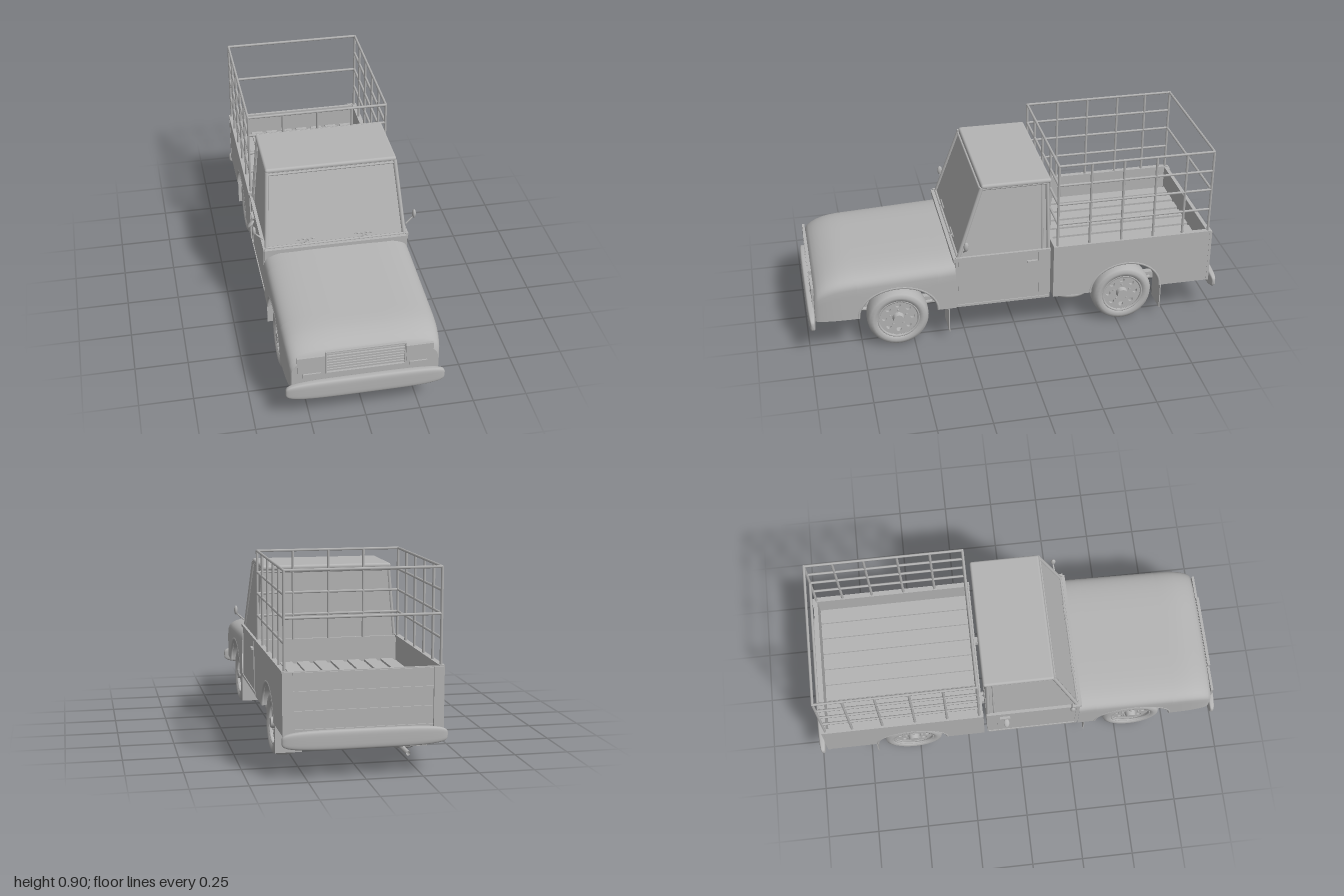
import * as THREE from 'three';
import { RoundedBoxGeometry } from 'three/addons/geometries/RoundedBoxGeometry.js';

const V = (x, y, z) => new THREE.Vector3(x, y, z);

// Smooth surface through rows of points
function loft(rows) {
  const n = rows[0].length, index = [];
  for (let i = 0; i < rows.length - 1; i++) {
    for (let j = 0; j < n - 1; j++) {
      const a = i * n + j, b = a + n;
      index.push(a, a + 1, b, b, a + 1, b + 1);
    }
  }
  const g = new THREE.BufferGeometry().setFromPoints(rows.flat());
  g.setIndex(index);
  g.computeVertexNormals();
  return g;
}

export function createModel() {
  const truck = new THREE.Group();
  truck.name = 'pickupTruck';
  const grey = new THREE.MeshStandardMaterial({ color: 0xb4b4b4, side: THREE.DoubleSide });
  grey.name = 'grey';

  const add = (name, geo, x = 0, y = 0, z = 0, parent = truck) => {
    const m = new THREE.Mesh(geo, grey);
    m.name = name;
    m.position.set(x, y, z);
    parent.add(m);
    return m;
  };
  const box = (name, w, h, d, x, y, z) => add(name, new THREE.BoxGeometry(w, h, d), x, y, z);
  const bar = (name, a, b, r, sides = 8) => {
    const m = add(name, new THREE.CylinderGeometry(r, r, a.distanceTo(b), sides));
    m.position.copy(a).lerp(b, 0.5);
    m.quaternion.setFromUnitVectors(V(0, 1, 0), b.clone().sub(a).normalize());
    return m;
  };
  const tube = (name, pts, r, seg = 32) =>
    add(name, new THREE.TubeGeometry(new THREE.CatmullRomCurve3(pts), seg, r, 8));
  const ball = (name, rx, ry, rz, x, y, z) => {
    const m = add(name, new THREE.SphereGeometry(1, 20, 14), x, y, z);
    m.scale.set(rx, ry, rz);
    return m;
  };

  // Bonnet and front wings: one shell whose lower edge follows the wheel arch
  const arch = { front: [0.575, 0.19, 0.145], rear: [-0.53, 0.175, 0.145] };
  const archPoints = ([c, half, rise], x) => Array.from({ length: 25 }, (_, i) => {
    const t = Math.PI * i / 24;
    return V(x, 0.19 + rise * Math.sin(t), c - half * Math.cos(t));
  });
  const section = (z) => {
    const s = Math.max(0, (z - 0.8) / 0.165);
    const round = 1 - Math.sqrt(Math.max(0, 1 - s * s));
    const top = 0.44 - 0.03 * (z - 0.3) / 0.66 - 0.07 * round;
    const w = 0.35 - 0.02 * round;
    const [c, half, rise] = arch.front;
    const u = (z - c) / half;
    const low = 0.19 + (Math.abs(u) < 1 ? rise * Math.sqrt(1 - u * u) : 0);
    const pts = [V(w, low, z)];
    for (let i = 0; i <= 32; i++) {
      const t = Math.PI * i / 32, cx = Math.cos(t), p = 2 / 4;
      const y = top - 0.1 + 0.1 * Math.pow(Math.sin(t), p);
      pts.push(V(Math.sign(cx) * w * Math.pow(Math.abs(cx), p), Math.max(low, y), z));
    }
    pts.push(V(-w, low, z));
    return pts;
  };
  const zs = [0.3, 0.34, ...archPoints(arch.front, 0).map(p => p.z),
    0.8, 0.84, 0.87, 0.9, 0.925, 0.945, 0.957, 0.965];
  add('bonnet', loft(zs.map(section)));
  add('frontPanel', new THREE.ShapeGeometry(
    new THREE.Shape(section(0.965).map(p => new THREE.Vector2(p.x, p.y)))), 0, 0, 0.965);

  // Grille with slats, headlamps and indicators
  for (const y of [0.257, 0.373]) box('grilleFrame', 0.36, 0.006, 0.014, 0, y, 0.969);
  for (const s of [-1, 1]) {
    box('grilleFrame', 0.006, 0.12, 0.014, s * 0.178, 0.315, 0.969);
    box('headlamp', 0.122, 0.085, 0.012, s * 0.244, 0.312, 0.968);
    box('indicator', 0.08, 0.023, 0.009, s * 0.24, 0.247, 0.967);
  }
  for (let i = 0; i < 7; i++) box('grilleSlat', 0.35, 0.007, 0.008, 0, 0.271 + i * 0.0147, 0.967);

  // Bumpers: superellipsoids
  for (const [name, y, z, h] of [['frontBumper', 0.178, 0.981, 0.048], ['rearBumper', 0.175, -0.981, 0.043]]) {
    const g = new THREE.SphereGeometry(1, 40, 32).rotateZ(Math.PI / 2);
    const p = g.attributes.position;
    const pw = (v) => Math.sign(v) * Math.pow(Math.abs(v), 0.5);
    for (let i = 0; i < p.count; i++) {
      p.setXYZ(i, 0.36 * pw(p.getX(i)), h * pw(p.getY(i)), 0.019 * pw(p.getZ(i)));
    }
    g.computeVertexNormals();
    add(name, g, 0, y, z);
  }

  // Cab: lower body, tapered glasshouse and roof
  box('cabBody', 0.69, 0.265, 0.455, 0, 0.3225, 0.0725);
  box('cowl', 0.69, 0.02, 0.02, 0, 0.447, 0.3);
  const house = new THREE.BoxGeometry(2, 1, 2).toNonIndexed();
  const hp = house.attributes.position;
  for (let i = 0; i < hp.count; i++) {
    const up = hp.getY(i) > 0;
    const z = hp.getZ(i) > 0 ? (up ? 0.165 : 0.285) : (up ? -0.148 : -0.152);
    hp.setXYZ(i, hp.getX(i) * (up ? 0.302 : 0.333), up ? 0.8 : 0.455, z);
  }
  house.computeVertexNormals();
  add('glasshouse', house);
  add('roof', new RoundedBoxGeometry(0.625, 0.024, 0.33, 4, 0.011), 0, 0.803, 0.003);
  bar('windscreenTopSeal', V(-0.3, 0.79, 0.172), V(0.3, 0.79, 0.172), 0.005);
  bar('windscreenBottomSeal', V(-0.33, 0.459, 0.288), V(0.33, 0.459, 0.288), 0.006);

  for (const s of [-1, 1]) {
    // Pillars, door seams, handle and mirror
    bar('frontPillar', V(s * 0.332, 0.455, 0.285), V(s * 0.304, 0.8, 0.166), 0.01);
    bar('rearPillar', V(s * 0.333, 0.455, -0.147), V(s * 0.303, 0.8, -0.143), 0.009);
    bar('windowPost', V(s * 0.335, 0.46, -0.118), V(s * 0.305, 0.795, -0.118), 0.004);
    bar('gutter', V(s * 0.306, 0.793, 0.165), V(s * 0.306, 0.793, -0.145), 0.006);
    box('waistRail', 0.012, 0.012, 0.455, s * 0.344, 0.457, 0.0725);
    box('doorSeam', 0.004, 0.25, 0.005, s * 0.346, 0.325, -0.1);
    box('doorSeam', 0.004, 0.25, 0.005, s * 0.346, 0.325, 0.285);
    box('doorSill', 0.006, 0.012, 0.44, s * 0.346, 0.198, 0.0725);
    box('doorHandle', 0.012, 0.01, 0.05, s * 0.351, 0.405, -0.066);
    bar('mirrorArm', V(s * 0.345, 0.493, 0.26), V(s * 0.376, 0.522, 0.255), 0.004);
    bar('mirrorStem', V(s * 0.376, 0.522, 0.255), V(s * 0.384, 0.542, 0.255), 0.003);
    ball('mirror', 0.009, 0.023, 0.012, s * 0.385, 0.543, 0.255);

    // Bed side with its wheel arch
    const [c, half, rise] = arch.rear;
    const side = new THREE.Shape();
    side.moveTo(-0.945, 0.465).lineTo(-0.945, 0.19).lineTo(c - half, 0.19);
    side.absellipse(c, 0.19, half, rise, Math.PI, 0, true);
    side.lineTo(-0.17, 0.19).lineTo(-0.17, 0.465).closePath();
    add('bedSide', new THREE.ExtrudeGeometry(side, { depth: 0.016, bevelEnabled: false, curveSegments: 24 })
      .rotateY(-Math.PI / 2), s > 0 ? 0.35 : -0.334);
    box('bedRail', 0.024, 0.012, 0.775, s * 0.342, 0.463, -0.5575);
    box('bedCornerPost', 0.045, 0.275, 0.012, s * 0.329, 0.3275, -0.947);

    // Wheel arch linings and lips
    for (const a of Object.values(arch)) {
      add('wheelHousing', loft([archPoints(a, s * 0.342), archPoints(a, s * 0.21)]));
      tube('archLip', archPoints(a, s * 0.345), 0.007, 40);
    }

    // Chassis rail and mud flaps
    box('chassisRail', 0.03, 0.036, 1.8, s * 0.16, 0.138, -0.01);
    box('mudFlap', 0.12, 0.13, 0.005, s * 0.285, 0.12, 0.335);
    box('mudFlap', 0.12, 0.13, 0.005, s * 0.285, 0.12, -0.712);
  }

  // Wipers
  for (const x of [-0.11, 0.17]) {
    bar('wiperBlade', V(x - 0.08, 0.483, 0.282), V(x + 0.01, 0.483, 0.282), 0.003, 6);
    bar('wiperArm', V(x - 0.065, 0.464, 0.29), V(x - 0.02, 0.478, 0.285), 0.003, 6);
  }

  // Load bed: slatted floor, front wall and ribbed tailgate
  box('bedFloor', 0.67, 0.008, 0.765, 0, 0.341, -0.5575);
  for (let i = 0; i < 8; i++) box('floorSlat', 0.058, 0.01, 0.75, -0.287 + i * 0.082, 0.35, -0.5575);
  box('bedFrontWall', 0.69, 0.275, 0.014, 0, 0.3275, -0.178);
  box('tailgate', 0.67, 0.265, 0.014, 0, 0.3325, -0.936);
  for (const y of [0.21, 0.29, 0.375, 0.455]) box('tailgateRib', 0.61, 0.012, 0.007, 0, y, -0.946);

  // Cage over the bed
  const zf = -0.19, zb = -0.933, xc = 0.34;
  const levels = [0.585, 0.69, 0.79, 0.89];
  const strut = (a, b) => bar('cageBar', a, b, 0.0065, 6);
  for (const s of [-1, 1]) {
    for (const z of [zf, -0.345, -0.5, -0.657, -0.803, zb]) strut(V(s * xc, 0.465, z), V(s * xc, 0.892, z));
    for (const y of levels) strut(V(s * xc, y, zf), V(s * xc, y, zb));
  }
  for (const x of [-0.17, 0, 0.17]) strut(V(x, 0.465, zf), V(x, 0.89, zf));
  for (const y of levels) strut(V(-xc, y, zf), V(xc, y, zf));
  for (const y of [0.69, 0.89]) strut(V(-xc, y, zb), V(xc, y, zb));

  // Wheels, built with the outer face toward +x
  const tyreProfile = [[0.095, -0.05], [0.12, -0.057], [0.137, -0.05], [0.146, -0.032], [0.148, 0],
    [0.146, 0.032], [0.137, 0.05], [0.12, 0.057], [0.102, 0.052], [0.096, 0.04], [0.095, -0.05]];
  const tyre = new THREE.LatheGeometry(tyreProfile.map(p => new THREE.Vector2(...p)), 40).rotateZ(-Math.PI / 2);
  const disc = new THREE.Shape().absarc(0, 0, 0.096, 0, Math.PI * 2);
  for (let i = 0; i < 8; i++) {
    const t = i * Math.PI / 4;
    disc.holes.push(new THREE.Path().absarc(0.068 * Math.cos(t), 0.068 * Math.sin(t), 0.012, 0, Math.PI * 2));
  }
  const rim = new THREE.ExtrudeGeometry(disc, { depth: 0.012, bevelEnabled: false, curveSegments: 16 })
    .rotateY(Math.PI / 2);
  const back = new THREE.CircleGeometry(0.096, 32).rotateY(Math.PI / 2);
  const ring = new THREE.TorusGeometry(0.097, 0.006, 8, 40).rotateY(Math.PI / 2);
  const hub = new THREE.CylinderGeometry(0.024, 0.03, 0.03, 20).rotateZ(-Math.PI / 2);
  const nut = new THREE.CylinderGeometry(0.006, 0.006, 0.012, 6).rotateZ(-Math.PI / 2);
  for (const z of [0.575, -0.525]) {
    for (const s of [-1, 1]) {
      const wheel = new THREE.Group();
      wheel.name = 'wheel';
      wheel.position.set(s * 0.278, 0.148, z);
      if (s < 0) wheel.rotation.y = Math.PI;
      truck.add(wheel);
      add('tyre', tyre, 0, 0, 0, wheel);
      add('rim', rim, 0.022, 0, 0, wheel);
      add('rimBack', back, -0.02, 0, 0, wheel);
      add('rimRing', ring, 0.045, 0, 0, wheel);
      add('hub', hub, 0.042, 0, 0, wheel);
      for (let i = 0; i < 5; i++) {
        const t = i * Math.PI * 0.4;
        add('wheelNut', nut, 0.037, 0.042 * Math.cos(t), 0.042 * Math.sin(t), wheel);
      }
      tube('leafSpring', [V(s * 0.19, 0.14, z + 0.18), V(s * 0.19, 0.122, z), V(s * 0.19, 0.14, z - 0.18)], 0.009, 12);
    }
    bar('axle', V(-0.26, 0.148, z), V(0.26, 0.148, z), 0.014);
  }
  ball('differential', 0.04, 0.035, 0.04, 0, 0.15, -0.525);

  // Exhaust and tank
  tube('exhaustPipe', [V(-0.06, 0.092, 0.36), V(-0.08, 0.092, 0.1), V(-0.1, 0.095, -0.1),
    V(-0.15, 0.115, -0.3), V(-0.17, 0.112, -0.6), V(-0.19, 0.095, -0.97)], 0.01);
  ball('tank', 0.05, 0.027, 0.085, 0.27, 0.162, -0.275);

  // Bare feet below the driver's floor, and a hand at the door
  for (const x of [-0.185, -0.12]) {
    add('leg', new THREE.CylinderGeometry(0.02, 0.013, 0.14, 14), x, 0.13, -0.05);
    ball('foot', 0.017, 0.016, 0.045, x, 0.054, -0.028);
    for (let i = 0; i < 5; i++) ball('toe', 0.004, 0.005, 0.008, x - 0.014 + i * 0.007, 0.045, 0.013);
  }
  ball('hand', 0.008, 0.025, 0.014, -0.362, 0.358, -0.06).rotation.z = -0.7;

  return truck;
}
